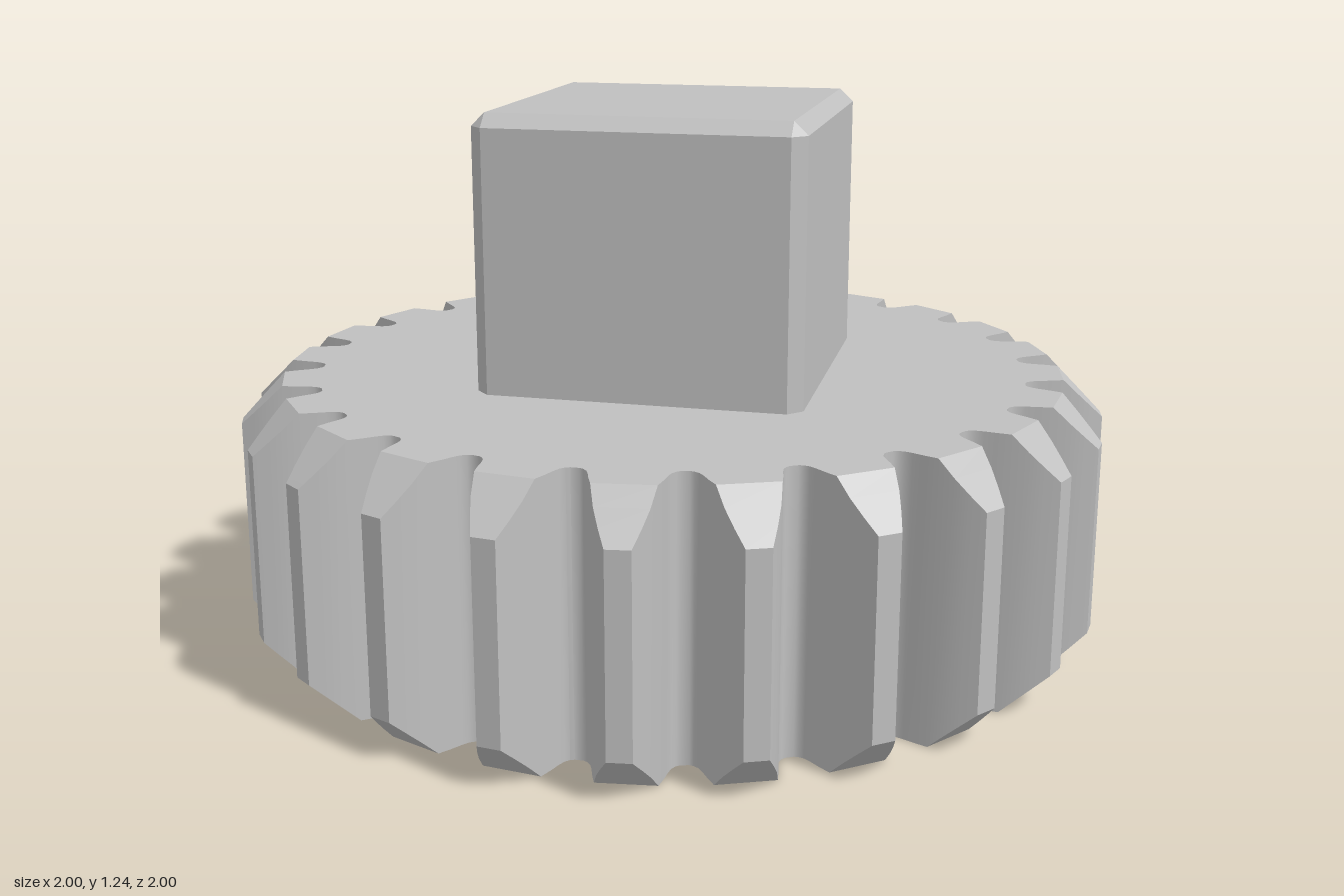
import * as THREE from 'three';
import { toCreasedNormals } from 'three/addons/utils/BufferGeometryUtils.js';

const TEETH = 24, HEIGHT = 0.62, CHAMFER_R = 0.905;
const BORE_R = 0.435, MOUTH_R = 0.47, PIN_R = 0.06, PIN_ANGLE = Math.PI / TEETH;

// One flank of a tooth, root to tip: [radius, half width]
const FLANK = [
  [0.82, 0.098], [0.824, 0.09], [0.834, 0.082], [0.85, 0.077], [0.875, 0.072],
  [CHAMFER_R, 0.064], [0.94, 0.054], [0.97, 0.041], [1, 0.026],
];

// Collects quads with counter-clockwise corners; collapsed triangles are skipped
function quadBuilder() {
  const pos = [];
  const tri = (a, b, c) => {
    if (a.distanceTo(b) > 1e-6 && b.distanceTo(c) > 1e-6 && c.distanceTo(a) > 1e-6)
      for (const p of [a, b, c]) pos.push(p.x, p.y, p.z);
  };
  return {
    quad(a, b, c, d) { tri(a, b, c); tri(a, c, d); },
    build() {
      const g = new THREE.BufferGeometry();
      g.setAttribute('position', new THREE.Float32BufferAttribute(pos, 3));
      return toCreasedNormals(g, 0.5);
    },
  };
}

// Full gear outline, counter-clockwise seen from above
function gearOutline() {
  const tooth = [
    ...FLANK.map(([r, w]) => ({ r, a: -Math.asin(w / r) })),
    ...FLANK.slice().reverse().map(([r, w]) => ({ r, a: Math.asin(w / r) })),
  ];
  const out = [];
  for (let i = 0; i < TEETH; i++)
    for (const p of tooth) out.push({ r: p.r, a: p.a + (i / TEETH) * Math.PI * 2 });
  return out;
}

const drop = (r) => Math.max(0, r - CHAMFER_R);
const low = (p) => new THREE.Vector3(p.r * Math.cos(p.a), drop(p.r), -p.r * Math.sin(p.a));
const high = (p) => new THREE.Vector3(p.r * Math.cos(p.a), HEIGHT - drop(p.r), -p.r * Math.sin(p.a));

function circleHole(x, y, r) {
  const path = new THREE.Path();
  path.absarc(x, y, r, 0, Math.PI * 2, true);
  return path;
}

export function createModel() {
  const model = new THREE.Group();
  const grey = new THREE.MeshStandardMaterial({ color: 0xc0c0c0 });
  grey.name = 'light grey';
  const add = (name, geometry) => {
    const mesh = new THREE.Mesh(geometry, grey);
    mesh.name = name;
    model.add(mesh);
    return mesh;
  };

  // Tooth walls and the slanted ends of the teeth
  const outline = gearOutline();
  const n = FLANK.length, per = n * 2;
  const walls = quadBuilder(), bevels = quadBuilder();
  outline.forEach((p, i) => {
    const q = outline[(i + 1) % outline.length];
    walls.quad(low(p), low(q), high(q), high(p));
  });
  for (let t = 0; t < TEETH; t++)
    for (let k = 0; k < n - 1; k++) {
      if (FLANK[k][0] < CHAMFER_R) continue;
      const a = outline[t * per + k], a2 = outline[t * per + k + 1];
      const b = outline[t * per + per - 1 - k], b2 = outline[t * per + per - 2 - k];
      bevels.quad(high(a2), high(b2), high(b), high(a));
      bevels.quad(low(a), low(b), low(b2), low(a2));
    }
  add('toothWalls', walls.build());
  add('toothBevels', bevels.build());

  // Flat gear faces
  const flat = () => new THREE.Shape(outline.filter((p) => p.r <= CHAMFER_R)
    .map((p) => new THREE.Vector2(p.r * Math.cos(p.a), p.r * Math.sin(p.a))));
  const pinX = 0.7 * Math.cos(PIN_ANGLE), pinZ = -0.7 * Math.sin(PIN_ANGLE);
  const top = flat();
  top.holes.push(circleHole(0, 0, 0.33));
  add('gearTop', new THREE.ShapeGeometry(top, 32).rotateX(-Math.PI / 2).translate(0, HEIGHT, 0));
  const bottom = flat();
  bottom.holes.push(circleHole(0, 0, MOUTH_R), circleHole(pinX, pinZ, PIN_R));
  add('gearBottom', new THREE.ShapeGeometry(bottom, 32).rotateX(Math.PI / 2));

  // Domed bore with a bevelled mouth
  const bore = [];
  for (let i = 0; i <= 14; i++) {
    const a = (i / 14) * Math.PI / 2;
    bore.push(new THREE.Vector2(BORE_R * Math.sin(a), 0.27 + BORE_R * Math.cos(a)));
  }
  bore.push(new THREE.Vector2(BORE_R, 0.035), new THREE.Vector2(MOUTH_R, 0));
  add('bore', toCreasedNormals(new THREE.LatheGeometry(bore, 64), 0.5));

  // Small blind locating hole
  const pin = [[0, 0.07], [PIN_R, 0.07], [PIN_R, 0]].map((p) => new THREE.Vector2(...p));
  add('locatingHole', toCreasedNormals(new THREE.LatheGeometry(pin, 32), 0.5))
    .position.set(pinX, 0, pinZ);

  // Square drive block with bevelled edges, open underneath
  const h = 0.367, s = h - 0.031;
  const block = quadBuilder();
  const corners = [[1, 1], [1, -1], [-1, -1], [-1, 1]];
  const ring = (y, w) => corners.flatMap(([x, z], i) => {
    const pair = [new THREE.Vector3(x * s, y, z * w), new THREE.Vector3(x * w, y, z * s)];
    return i % 2 ? pair.reverse() : pair;
  });
  const rings = [ring(HEIGHT, h), ring(1.21, h), ring(1.24, s)];
  for (let k = 0; k < 2; k++)
    for (let i = 0; i < 8; i++) {
      const j = (i + 1) % 8;
      block.quad(rings[k][i], rings[k][j], rings[k + 1][j], rings[k + 1][i]);
    }
  block.quad(rings[2][0], rings[2][2], rings[2][4], rings[2][6]);
  add('driveBlock', block.build()).rotation.y = PIN_ANGLE;

  return model;
}
